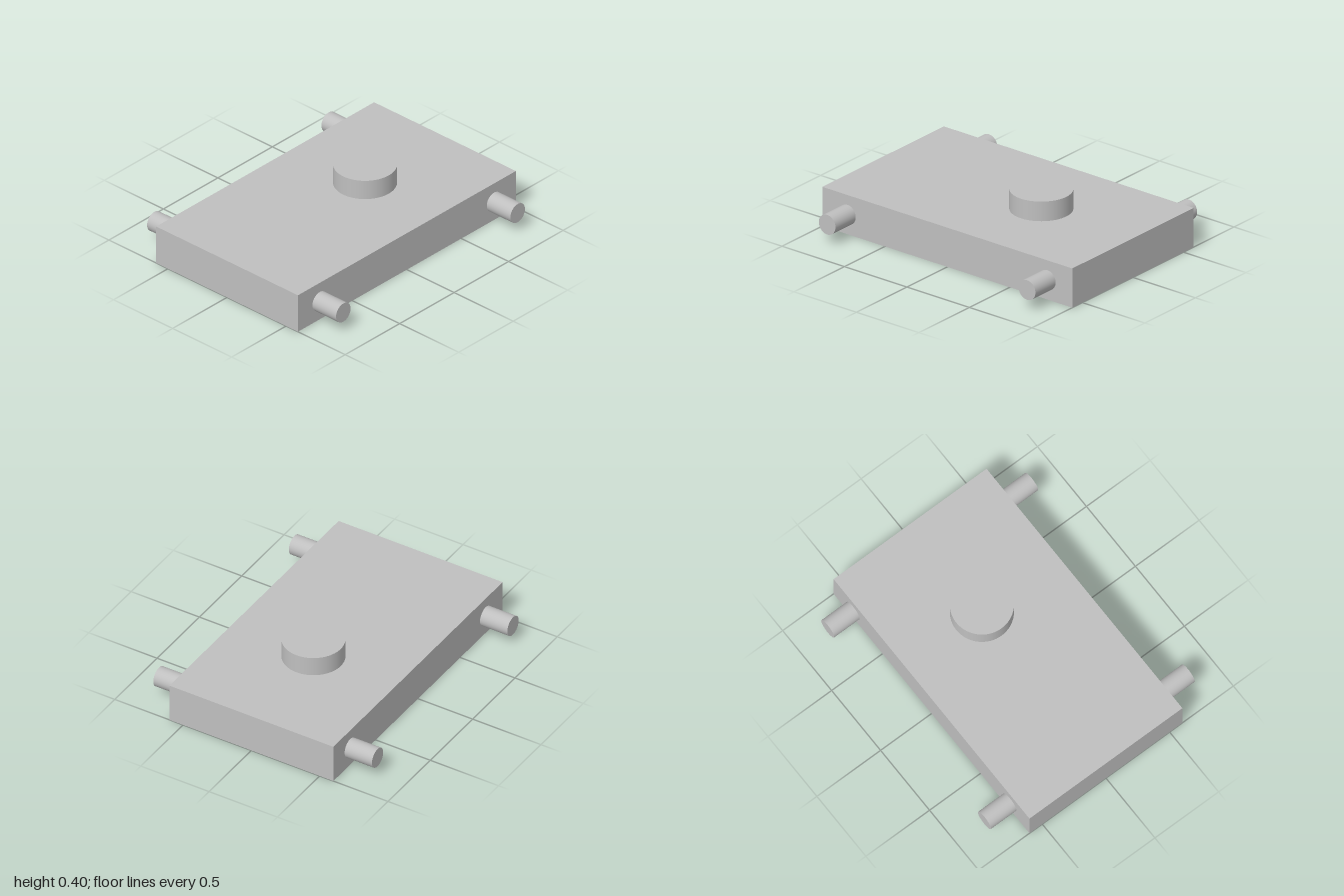
import * as THREE from 'three';

export function createModel() {
  const group = new THREE.Group();
  const grey = new THREE.MeshStandardMaterial({ color: 0xbfbfbf });
  grey.name = 'plain grey';

  function add(name, geometry, x, y, z) {
    const mesh = new THREE.Mesh(geometry, grey);
    mesh.name = name;
    mesh.position.set(x, y, z);
    group.add(mesh);
    return mesh;
  }

  // Flat rectangular slab
  const height = 4 / 15;
  add('body', new THREE.BoxGeometry(2, height, 1.2), 0, height / 2, 0);

  // Round boss on the top, set towards the left end
  const bossHeight = 0.4 - height;
  add('topBoss', new THREE.CylinderGeometry(0.2, 0.2, bossHeight, 64), height, height + bossHeight / 2, 0);

  // Four pegs, two on each long side
  const pegGeometry = new THREE.CylinderGeometry(1 / 15, 1 / 15, 0.2, 48).rotateX(Math.PI / 2);
  for (const [end, z] of [['front', 0.7], ['back', -0.7]]) {
    for (const [side, x] of [['Left', 0.8], ['Right', -0.8]]) {
      add(`${end}${side}Peg`, pegGeometry, x, height / 2, z);
    }
  }

  return group;
}
